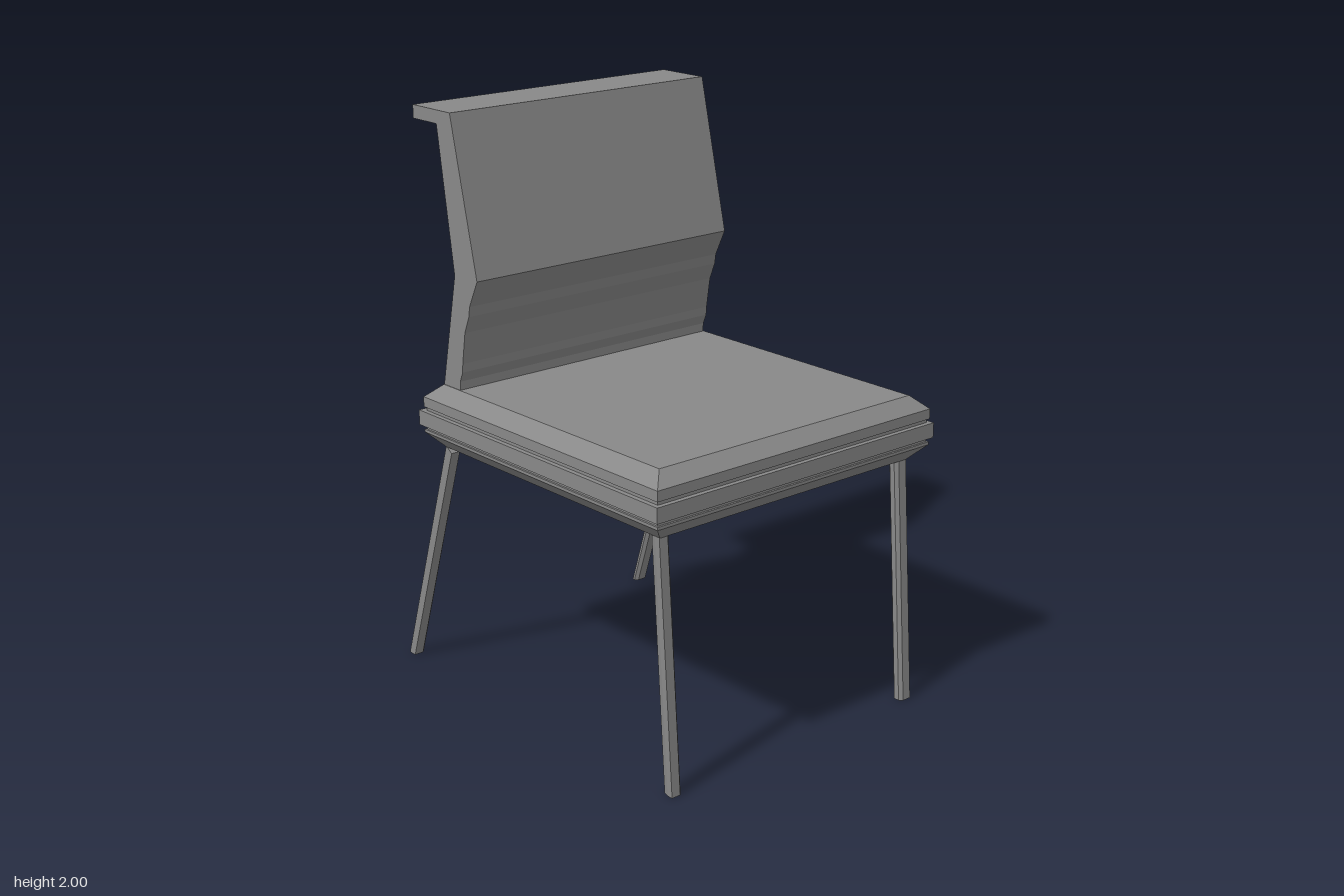
import * as THREE from 'three';

const material = new THREE.MeshStandardMaterial({ color: 0x888888, flatShading: true });

// Closed solid through stacked convex loops of [x, y, z], counterclockwise from above, bottom to top
function loft(sections) {
  const pos = [];
  const tri = (a, b, c) => pos.push(...a, ...b, ...c);
  const n = sections[0].length;
  for (let s = 0; s < sections.length - 1; s++) {
    const lo = sections[s], hi = sections[s + 1];
    for (let i = 0; i < n; i++) {
      const j = (i + 1) % n;
      tri(lo[i], lo[j], hi[j]);
      tri(lo[i], hi[j], hi[i]);
    }
  }
  const bottom = sections[0], top = sections[sections.length - 1];
  for (let i = 1; i < n - 1; i++) {
    tri(bottom[0], bottom[i + 1], bottom[i]);
    tri(top[0], top[i], top[i + 1]);
  }
  const geometry = new THREE.BufferGeometry();
  geometry.setAttribute('position', new THREE.Float32BufferAttribute(pos, 3));
  geometry.computeVertexNormals();
  return geometry;
}

function add(parent, name, geometry) {
  const mesh = new THREE.Mesh(geometry, material);
  mesh.name = name;
  parent.add(mesh);
}

export function createModel() {
  const chair = new THREE.Group();
  chair.name = 'chair';

  // Seat: stacked rectangles with bevels and a square welt between two grooves; [y, half width, front z, back z]
  const seatLevels = [
    [0.852, 0.542, 0.655, -0.445],
    [0.905, 0.595, 0.705, -0.495],
    [0.915, 0.595, 0.705, -0.495],
    [0.915, 0.588, 0.698, -0.488],
    [0.93, 0.588, 0.698, -0.488],
    [0.93, 0.605, 0.715, -0.51],
    [0.982, 0.605, 0.715, -0.51],
    [0.982, 0.588, 0.698, -0.488],
    [0.995, 0.588, 0.698, -0.488],
    [0.995, 0.595, 0.705, -0.495],
    [1.03, 0.595, 0.705, -0.495],
    [1.075, 0.545, 0.655, -0.445],
  ];
  add(chair, 'seat', loft(seatLevels.map(([y, w, f, b]) =>
    [[w, y, f], [w, y, b], [-w, y, b], [-w, y, f]])));

  // Backrest: side profile [z, y] with lumbar ridges and a rear top lip, extruded across the width
  const profile = [
    [-0.447, 1.07], [-0.368, 1.465], [-0.445, 1.955], [-0.575, 1.955], [-0.575, 2], [-0.37, 2],
    [-0.245, 1.468], [-0.29, 1.375], [-0.295, 1.34], [-0.32, 1.28], [-0.337, 1.17], [-0.339, 1.14],
    [-0.354, 1.105], [-0.355, 1.07],
  ];
  const shape = new THREE.Shape(profile.map(([z, y]) => new THREE.Vector2(-z, y)));
  const back = new THREE.ExtrudeGeometry(shape, { depth: 1.085, bevelEnabled: false });
  back.rotateY(Math.PI / 2).translate(-0.5425, 0, 0);
  add(chair, 'backrest', back);

  // Legs: slim slanted bars with chamfered inner corners; ridge insets the outer rear edge
  const legSection = (side, y, front, rear, slope, ridge) => {
    const c = 0.011, o = 0.543, i = 0.498;
    const loop = [
      [o, front], [o, (front + rear) / 2], [o - ridge, rear],
      [i + c, rear], [i, rear + c], [i, front - c], [i + c, front],
    ].map(([x, z]) => [x * side, y - slope * (z - rear), z]);
    return side > 0 ? loop : loop.reverse();
  };
  for (const [side, label] of [[1, 'left'], [-1, 'right']]) {
    add(chair, label + 'FrontLeg', loft([
      legSection(side, 0, 0.715, 0.673, 0, 0.006),
      legSection(side, 0.856, 0.653, 0.611, 0, 0.006),
    ]));
    add(chair, label + 'RearLeg', loft([
      legSection(side, 0, -0.682, -0.714, 0, 0),
      legSection(side, 0.857, -0.416, -0.446, 0.7, 0),
    ]));
  }
  return chair;
}
